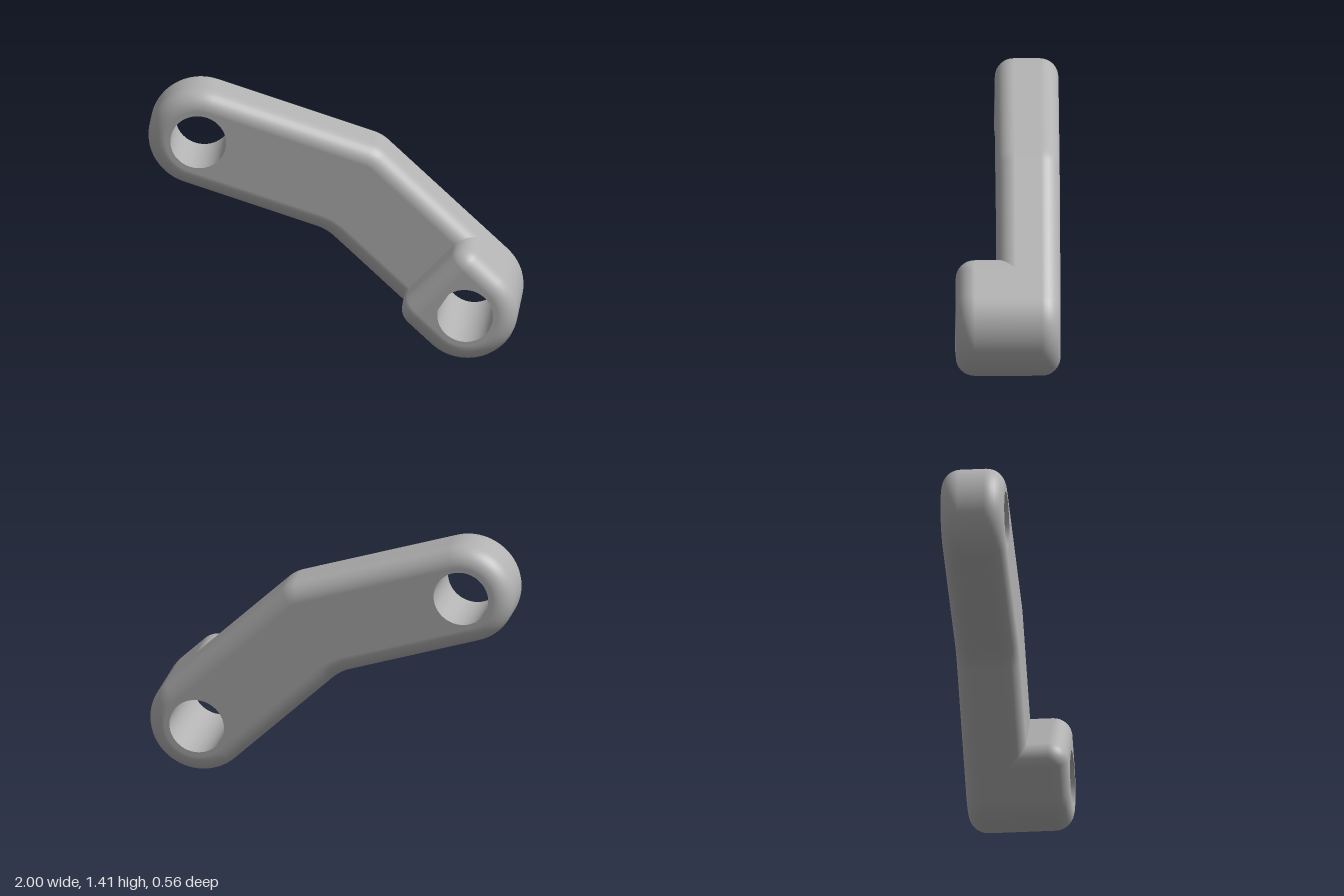
import * as THREE from 'three';
import { mergeGeometries } from 'three/addons/utils/BufferGeometryUtils.js';

const A = new THREE.Vector2(-0.725, 1.14);   // upper hole centre
const K = new THREE.Vector2(0.099, 0.872);   // bend of the centreline
const B = new THREE.Vector2(0.725, 0.275);   // lower hole centre
const R = 0.275, HOLE = 0.15, ROUND = 0.1;
const BACK = -0.28, FRONT = 0.06, BOSS = 0.28;

const polar = (a, r = 1) => new THREE.Vector2(Math.cos(a) * r, Math.sin(a) * r);

// Outline points with outward normals; a negative radius makes a concave fillet
function arc(c, r, a0, a1, n) {
  const out = [];
  for (let i = 0; i <= n; i++) {
    const nrm = polar(a0 + (a1 - a0) * i / n);
    out.push({ p: c.clone().addScaledVector(nrm, r), n: nrm });
  }
  return out;
}

const insetPoint = (o, d) => o.p.clone().addScaledVector(o.n, -d);

// Side wall through rings of { z, inset, tilt }, with smooth normals
function wall(outline, rings) {
  const pos = [], nor = [], uv = [], idx = [], n = outline.length;
  rings.forEach(({ z, inset, tilt }) => outline.forEach(o => {
    const p = insetPoint(o, inset), c = Math.cos(tilt);
    pos.push(p.x, p.y, z);
    nor.push(o.n.x * c, o.n.y * c, Math.sin(tilt));
    uv.push(0, 0);
  }));
  for (let j = 0; j < rings.length - 1; j++) for (let i = 0; i < n; i++) {
    const a = j * n + i, b = j * n + (i + 1) % n;
    idx.push(a, b, b + n, a, b + n, a + n);
  }
  const g = new THREE.BufferGeometry();
  g.setAttribute('position', new THREE.Float32BufferAttribute(pos, 3));
  g.setAttribute('normal', new THREE.Float32BufferAttribute(nor, 3));
  g.setAttribute('uv', new THREE.Float32BufferAttribute(uv, 2));
  g.setIndex(idx);
  return g;
}

// Flat face with holes
function cap(outline, holes, z, back) {
  const s = new THREE.Shape(outline.map(o => insetPoint(o, ROUND)));
  holes.forEach(h => s.holes.push(new THREE.Path().absarc(h.x, h.y, HOLE, 0, Math.PI * 2, true)));
  const g = new THREE.ShapeGeometry(s, 32);
  if (back) {
    const ix = g.index.array;
    for (let i = 0; i < ix.length; i += 3) [ix[i], ix[i + 1]] = [ix[i + 1], ix[i]];
    for (let i = 0; i < g.attributes.normal.count; i++) g.attributes.normal.setZ(i, -1);
  }
  return g.translate(0, 0, z);
}

// Rounded rim rings running up to the front face, or down to the back face
function rim(z, dir) {
  const rings = [];
  for (let i = 0; i <= 8; i++) {
    const t = i / 8 * Math.PI / 2;
    rings.push({ z: z + dir * ROUND * (Math.sin(t) - 1), inset: ROUND * (1 - Math.cos(t)), tilt: dir * t });
  }
  return dir > 0 ? rings : rings.reverse();
}

export function createModel() {
  const group = new THREE.Group();
  const grey = new THREE.MeshStandardMaterial({ color: 0xb2b2b2 });
  grey.name = 'grey';
  const add = (name, geo) => {
    const m = new THREE.Mesh(geo, grey);
    m.name = name;
    group.add(m);
  };

  const u2 = B.clone().sub(K).normalize();
  const n1 = K.clone().sub(A).angle() - Math.PI * 1.5;   // upward normal of upper half
  const n2 = u2.angle() - Math.PI * 1.5;                 // upward normal of lower half
  const half = (n1 - n2) / 2, mid = (n1 + n2) / 2, PI = Math.PI;
  const bend = (side, r) => K.clone().add(polar(mid + side, (R - r) / Math.cos(half)));

  // Bent arm
  const lowerEnd = arc(B, R, n2 - PI, n2, 40);
  const armOutline = [
    ...lowerEnd,
    ...arc(bend(0, 0.2), 0.2, n2, n1, 8),
    ...arc(A, R, n1, n1 + PI, 40),
    ...arc(bend(PI, -0.25), -0.25, n1 + PI, n2 + PI, 8),
  ];
  add('arm', mergeGeometries([
    wall(armOutline, [...rim(BACK, -1), ...rim(FRONT, 1)]),
    cap(armOutline, [A, B], FRONT, false),
    cap(armOutline, [A, B], BACK, true),
  ]));

  // Raised boss round the lower hole, with a squared inner end
  const r = 0.1, off = polar(n2, R - r);
  const inner = B.clone().addScaledVector(u2, r - R);
  const bossOutline = [
    ...lowerEnd,
    ...arc(inner.clone().add(off), r, n2, n2 + PI / 2, 12),
    ...arc(inner.clone().sub(off), r, n2 + PI / 2, n2 + PI, 12),
  ];
  add('boss', mergeGeometries([
    wall(bossOutline, [{ z: FRONT - ROUND, inset: 0, tilt: 0 }, ...rim(BOSS, 1)]),
    cap(bossOutline, [B], BOSS, false),
  ]));

  // Bores: walls face inward, so the rings run front to back
  [['upperBore', A, FRONT], ['lowerBore', B, BOSS]].forEach(([name, c, z]) => {
    const ring = arc(c, -HOLE, 0, PI * 2, 64).slice(0, -1).reverse();
    add(name, wall(ring, [{ z: BACK, inset: 0, tilt: 0 }, { z, inset: 0, tilt: 0 }]));
  });
  return group;
}
